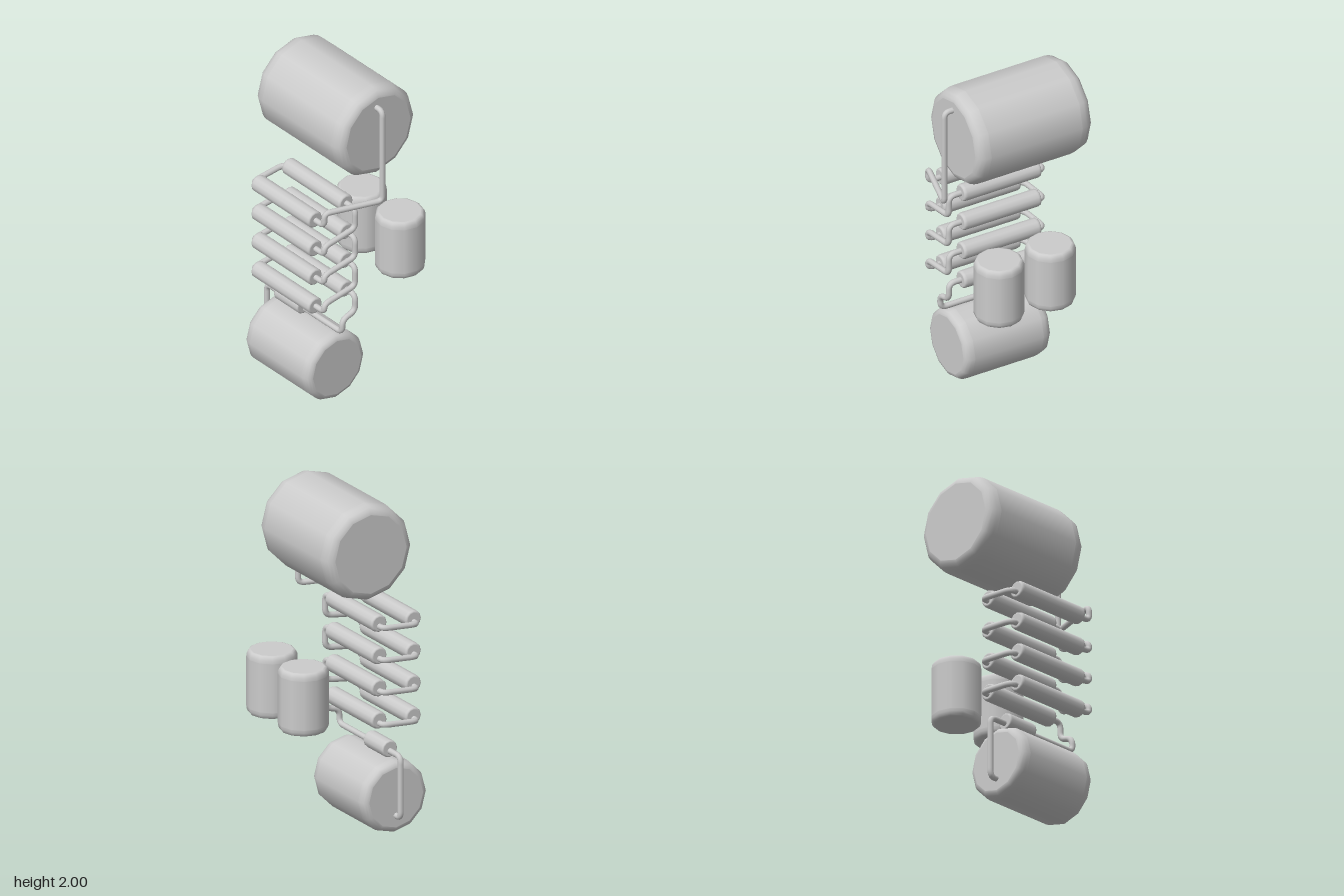
import * as THREE from 'three';

const material = new THREE.MeshStandardMaterial({ color: 0xcccccc });
const SIDES = 12;

// Closed cylinder with rounded rims: br is the rim's radial size, bl its axial size.
function roundedCylinder(name, radius, length, br, bl) {
  const h = length / 2, steps = 4, rim = [];
  for (let i = 0; i <= steps; i++) {
    const a = (i / steps) * Math.PI / 2;
    rim.push([radius - br + br * Math.sin(a), h - bl + bl * Math.cos(a)]);
  }
  const top = [[0, h], [radius - br - 0.002, h], ...rim, [radius, h - bl - 0.002]];
  const profile = [
    ...top.map(([r, y]) => new THREE.Vector2(r, -y)),
    ...top.reverse().map(([r, y]) => new THREE.Vector2(r, y)),
  ];
  const mesh = new THREE.Mesh(new THREE.LatheGeometry(profile, SIDES), material);
  mesh.name = name;
  return mesh;
}

// Cylinder lying along z between z0 and z1.
function lying(name, x, y, z0, z1, radius, br, bl) {
  const mesh = roundedCylinder(name, radius, Math.abs(z1 - z0), br, bl);
  mesh.rotation.x = Math.PI / 2;
  mesh.position.set(x, y, (z0 + z1) / 2);
  return mesh;
}

// Pipe through corner points, each corner rounded off.
function pipe(name, corners, bend = 0.04) {
  const pts = corners.map((c) => new THREE.Vector3(...c));
  const path = new THREE.CurvePath();
  let last = pts[0];
  for (let i = 1; i < pts.length - 1; i++) {
    const p = pts[i];
    const toward = (q) => {
      const d = q.clone().sub(p);
      return p.clone().addScaledVector(d.clone().normalize(), Math.min(bend, d.length() * 0.48));
    };
    const a = toward(pts[i - 1]), b = toward(pts[i + 1]);
    path.add(new THREE.LineCurve3(last, a));
    path.add(new THREE.QuadraticBezierCurve3(a, p, b));
    last = b;
  }
  path.add(new THREE.LineCurve3(last, pts[pts.length - 1]));
  const segments = Math.ceil(path.getLength() / 0.01);
  const mesh = new THREE.Mesh(new THREE.TubeGeometry(path, segments, 0.017, 10), material);
  mesh.name = name;
  return mesh;
}

export function createModel() {
  const model = new THREE.Group();
  model.name = 'tankAndCoilAssembly';

  // Large tanks
  model.add(lying('upperTank', 0.01, 1.718, -0.405, 0.334, 0.283, 0.05, 0.075));
  model.add(lying('lowerTank', -0.213, 0.213, -0.31, 0.243, 0.213, 0.037, 0.055));

  // Upright canisters
  for (const z of [0.203, -0.128]) {
    const canister = roundedCylinder('canister', 0.142, 0.37, 0.022, 0.04);
    canister.position.set(0.278, 0.84, z);
    model.add(canister);
  }

  // Zigzag coil: two columns of rods joined by bent pipes
  const coil = new THREE.Group();
  coil.name = 'coil';
  model.add(coil);
  const xl = -0.343, xr = -0.12, back = -0.325, front = 0.287;
  const rows = 4, pitch = 0.19;
  for (let i = 0; i < rows; i++) {
    const yl = 1.23 - i * pitch, yr = yl + 0.017;
    coil.add(lying('leftRod', xl, yl, -0.285, 0.212, 0.051, 0.01, 0.016));
    coil.add(lying('rightRod', xr, yr, -0.285, 0.212, 0.051, 0.01, 0.016));
    coil.add(pipe('backLink', [
      [xl, yl - 0.015, -0.27], [xl, yl - 0.015, back],
      [xr, yr - 0.015, back], [xr, yr - 0.015, -0.27],
    ], 0.05));
    if (i < rows - 1) {
      const next = yl - pitch;
      coil.add(pipe('frontLink', [
        [xr, yr, 0.2], [xr, yr, front], [xr, yr - 0.126, front],
        [xl, next + 0.05, front], [xl, next, front], [xl, next, 0.2],
      ]));
    }
  }

  // Feed from the upper tank to the first rod
  model.add(pipe('inletPipe', [
    [-0.005, 1.893, 0.32], [-0.005, 1.893, 0.385], [-0.005, 1.303, 0.385],
    [xl, 1.31, front], [xl, 1.228, front], [xl, 1.228, 0.2],
  ], 0.035));

  // Drain from the last rod through a small connector into the lower tank
  const xd = -0.213;
  model.add(pipe('drainPipe', [
    [xr, 0.677, 0.2], [xr, 0.677, front], [xr, 0.575, front],
    [xd, 0.55, front], [xd, 0.468, front], [xd, 0.468, -0.03],
  ]));
  model.add(lying('connector', xd, 0.479, -0.245, -0.04, 0.05, 0.008, 0.012));
  model.add(pipe('outletPipe', [
    [xd, 0.468, -0.235], [xd, 0.468, -0.357], [xd, 0.108, -0.357], [xd, 0.108, -0.3],
  ]));

  return model;
}
